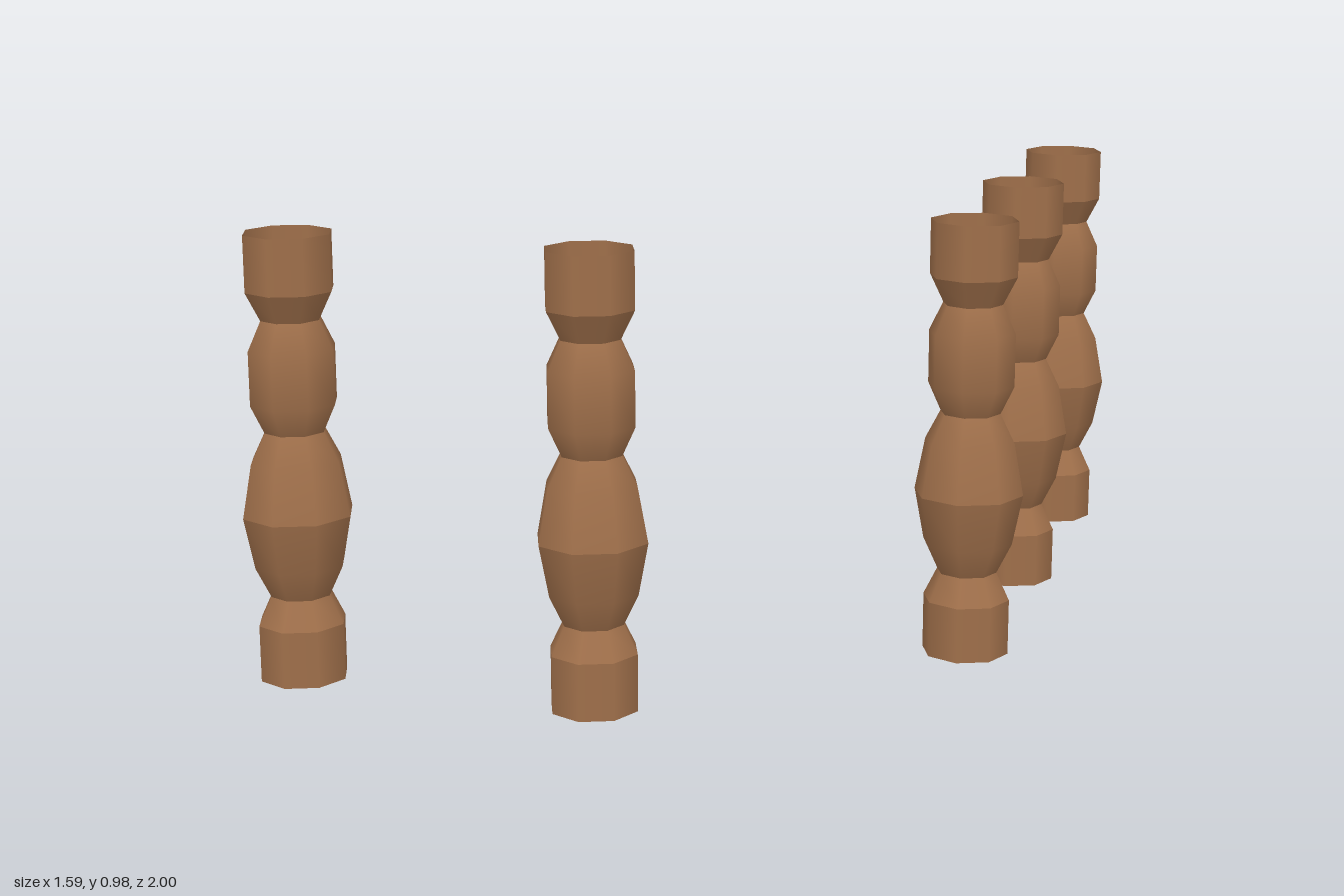
import * as THREE from 'three';

// Profile sections as [radius, height]; separate sections keep the joints crisp
const SECTIONS = {
  bottomSleeve: [[0.097, 0], [0.097, 0.125]],
  bottomTaper: [[0.097, 0.125], [0.067, 0.187]],
  lowerBulge: [[0.067, 0.187], [0.1, 0.255], [0.122, 0.368]],
  upperBulge: [[0.122, 0.368], [0.1, 0.485], [0.067, 0.55]],
  bead: [[0.067, 0.55], [0.096, 0.612], [0.096, 0.73], [0.066, 0.793]],
  topTaper: [[0.066, 0.793], [0.097, 0.855]],
  topSleeve: [[0.097, 0.855], [0.097, 0.977]],
};

// Ground positions [x, z]: a front row and a row along the left side
const POSITIONS = [
  [-0.672, 0.877], [0, 0.877],
  [0.672, 0.292], [0.672, -0.292], [0.672, -0.877],
];

export function createModel() {
  const model = new THREE.Group();
  model.name = 'balusters';

  const wood = new THREE.MeshStandardMaterial({ color: 0xa0704b, side: THREE.DoubleSide });
  wood.name = 'brown wood';

  // Open eight-sided turned shells, shared by every post
  const parts = Object.entries(SECTIONS).map(([name, profile]) => {
    const points = profile.map(([r, y]) => new THREE.Vector2(r, y));
    return [name, new THREE.LatheGeometry(points, 8)];
  });

  for (const [x, z] of POSITIONS) {
    const post = new THREE.Group();
    post.name = 'baluster';
    post.position.set(x, 0, z);
    for (const [name, geometry] of parts) {
      const mesh = new THREE.Mesh(geometry, wood);
      mesh.name = name;
      post.add(mesh);
    }
    model.add(post);
  }
  return model;
}
